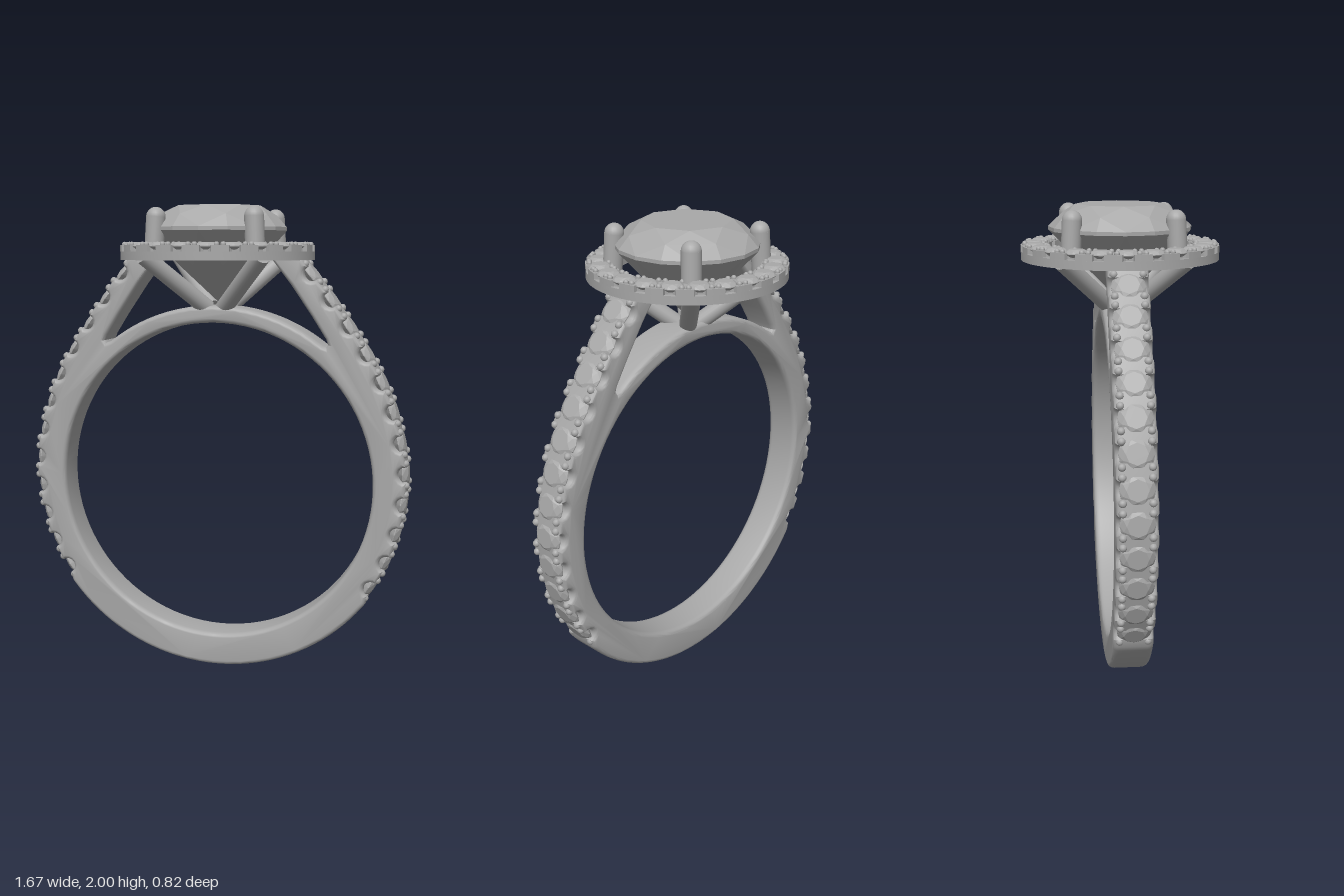
import * as THREE from 'three';
import { toCreasedNormals } from 'three/addons/utils/BufferGeometryUtils.js';
import { ConvexGeometry } from 'three/addons/geometries/ConvexGeometry.js';

const V2 = (x, y) => new THREE.Vector2(x, y);
const V3 = (x, y, z) => new THREE.Vector3(x, y, z);
const UP = V3(0, 1, 0);
const polar = (r, a, cy = 0) => V2(r * Math.cos(a), cy + r * Math.sin(a));
const arc = (r, a0, a1, n, cy) =>
  Array.from({ length: n + 1 }, (_, i) => polar(r, a0 + ((a1 - a0) * i) / n, cy));

const CENTRE_Y = 0.83; // centre of the finger hole
const PAVE = 12; // stones on each shoulder
const HALO = 22; // stones around the centre stone

// Faceted brilliant: table, star points, girdle, pavilion, culet
function gemGeometry(r, depth) {
  const pts = [V3(0, -depth * r, 0)];
  const ring = (n, rad, y, turn) => {
    for (let i = 0; i < n; i++) {
      const p = polar(rad * r, ((i + turn) / n) * Math.PI * 2);
      pts.push(V3(p.x, y * r, p.y));
    }
  };
  ring(8, 0.62, 0.32, 0);
  ring(8, 0.85, 0.19, 0.5);
  ring(16, 1, 0.02, 0);
  ring(16, 1, -0.03, 0);
  ring(8, 0.55, -0.5 * depth, 0.5);
  return new ConvexGeometry(pts);
}

export function createModel() {
  const model = new THREE.Group();
  const metal = new THREE.MeshStandardMaterial({ color: 0xa8a8a8 });
  metal.name = 'silver grey';

  const add = (geo, name, pos, dir, parent = model) => {
    const m = new THREE.Mesh(geo, metal);
    m.name = name;
    if (pos) m.position.copy(pos);
    if (dir) m.quaternion.setFromUnitVectors(UP, dir);
    parent.add(m);
    return m;
  };
  const group = (name) => {
    const g = new THREE.Group();
    g.name = name;
    model.add(g);
    return g;
  };
  const rod = (a, b, r0, r1, name, parent) => {
    const d = b.clone().sub(a);
    add(new THREE.CylinderGeometry(r1, r0, d.length(), 20), name,
      a.clone().add(b).multiplyScalar(0.5), d.normalize(), parent);
  };

  // Outer curve of one stone-set shoulder, from below up to the halo
  const shoulder = new THREE.SplineCurve([
    V2(0.667, 0.336), V2(0.761, 0.5), V2(0.815, 0.67), V2(0.835, 0.83), V2(0.83, 0.95),
    V2(0.803, 1.08), V2(0.758, 1.22), V2(0.695, 1.35), V2(0.62, 1.47), V2(0.537, 1.59),
    V2(0.455, 1.7), V2(0.385, 1.785),
  ]);
  const frame = (u) => {
    const p = shoulder.getPointAt(u), t = shoulder.getTangentAt(u);
    const n = V2(t.y, -t.x);
    return { t, n, at: (along, out) => p.clone().addScaledVector(t, along).addScaledVector(n, out) };
  };

  // Shank: half outline with U cuts at the stones, then mirrored
  const half = arc(0.83, -Math.PI / 2, -0.637, 24, CENTRE_Y);
  for (let i = 0; i < PAVE; i++) {
    const f = frame((i + 0.5) / PAVE);
    for (let k = 0; k <= 8; k++) {
      const a = (k / 8) * Math.PI;
      half.push(f.at(-0.033 * Math.cos(a), -0.012 - 0.036 * Math.sin(a)));
    }
  }
  half.push(V2(0.375, 1.79), V2(0.24, 1.79), V2(0.33, 1.675), V2(0.42, 1.545),
    V2(0.478, 1.455), V2(0.487, 1.432), V2(0.48, 1.423));
  half.push(...arc(0.757, 0.91, Math.PI / 2, 20, CENTRE_Y));
  const mirrored = half.slice(1, -1).reverse().map((p) => V2(-p.x, p.y));
  const outline = new THREE.Shape([...half, ...mirrored]);
  outline.holes.push(new THREE.Path(arc(0.685, 0, -Math.PI * 2, 96, CENTRE_Y).slice(0, -1)));
  const shank = new THREE.ExtrudeGeometry(outline, {
    depth: 0.11, bevelThickness: 0.025, bevelSize: 0.018, bevelOffset: -0.018, bevelSegments: 4,
  });
  shank.translate(0, 0, -0.055);
  add(toCreasedNormals(shank, 0.6), 'shank');

  // Shoulder stones and the split bead prongs between them
  const shoulderGem = gemGeometry(0.068, 0.75);
  const shoulderBead = new THREE.CapsuleGeometry(0.016, 0.03, 3, 10);
  for (const s of [1, -1]) {
    const g = group(s > 0 ? 'leftShoulderStones' : 'rightShoulderStones');
    const place = (geo, name, f, along, out, z) => {
      const p = f.at(along, out);
      add(geo, name, V3(s * p.x, p.y, z), V3(s * f.n.x, f.n.y, 0), g);
    };
    for (let i = 0; i < PAVE; i++) place(shoulderGem, 'shoulderStone', frame((i + 0.5) / PAVE), 0, -0.028, 0);
    for (let i = 0; i <= PAVE; i++) {
      for (const side of [-1, 1]) {
        if ((i === 0 && side < 0) || (i === PAVE && side > 0)) continue;
        for (const z of [-0.056, 0.056]) place(shoulderBead, 'shoulderBead', frame(i / PAVE), side * 0.019, -0.03, z);
      }
    }
  }

  // Halo: pierced base ring with a scalloped rim above it
  const step = (Math.PI * 2) / HALO;
  const flatRing = (shape, y, h, name) => {
    const geo = new THREE.ExtrudeGeometry(shape, { depth: h, bevelEnabled: false, curveSegments: 10 });
    geo.rotateX(-Math.PI / 2).translate(0, y, 0);
    add(toCreasedNormals(geo, 0.5), name);
  };
  const circlePath = (p, r) => new THREE.Path().absarc(p.x, p.y, r, 0, Math.PI * 2, true);
  const base = new THREE.Shape(arc(0.41, 0, Math.PI * 2, 88, 0).slice(0, -1));
  base.holes.push(new THREE.Path(arc(0.298, 0, -Math.PI * 2, 88, 0).slice(0, -1)));
  const scallop = (r, dip) => {
    const pts = [];
    for (let i = 0; i < HALO; i++) {
      for (const [a, d] of [[-0.5, 0], [-0.2, 0], [-0.17, 0.7], [-0.08, 1], [0.08, 1], [0.17, 0.7], [0.2, 0], [0.35, 0]])
        pts.push(polar(r + dip * d, (i + a) * step));
    }
    return pts;
  };
  const rim = new THREE.Shape(scallop(0.41, -0.022));
  rim.holes.push(new THREE.Path(scallop(0.3, 0.02).reverse()));
  for (let i = 0; i < HALO; i++) {
    base.holes.push(circlePath(polar(0.355, i * step), 0.021));
    rim.holes.push(circlePath(polar(0.355, i * step), 0.03));
  }
  flatRing(base, 1.777, 0.035, 'haloBase');
  flatRing(rim, 1.812, 0.025, 'haloRim');

  // Halo stones and beads
  const halo = group('haloStones');
  const haloGem = gemGeometry(0.049, 0.8);
  const haloBead = new THREE.CapsuleGeometry(0.011, 0.018, 3, 8);
  for (let i = 0; i < HALO; i++) {
    const p = polar(0.355, i * step);
    add(haloGem, 'haloStone', V3(p.x, 1.833, -p.y), null, halo);
    for (const r of [0.393, 0.316]) {
      for (const side of [-1, 1]) {
        const q = polar(r, (i + 0.5) * step + (side * 0.013) / r);
        add(haloBead, 'haloBead', V3(q.x, 1.831, -q.y), null, halo);
      }
    }
  }

  // Centre stone
  add(gemGeometry(0.296, 1.02), 'centreStone', V3(0, 1.905, 0));

  // Four claws with struts running down to the arch
  const tip = new THREE.SphereGeometry(0.04, 20, 14);
  for (const sx of [1, -1]) {
    for (const sz of [1, -1]) {
      const g = group('claw');
      const at = (d, y) => V3(sx * d, y, sz * d);
      add(tip, 'clawTip', at(0.205, 1.95), null, g);
      rod(at(0.213, 1.79), at(0.205, 1.95), 0.04, 0.04, 'clawPost', g);
      rod(at(0.035, 1.575), at(0.248, 1.795), 0.036, 0.036, 'clawStrut', g);
    }
  }
  return model;
}
